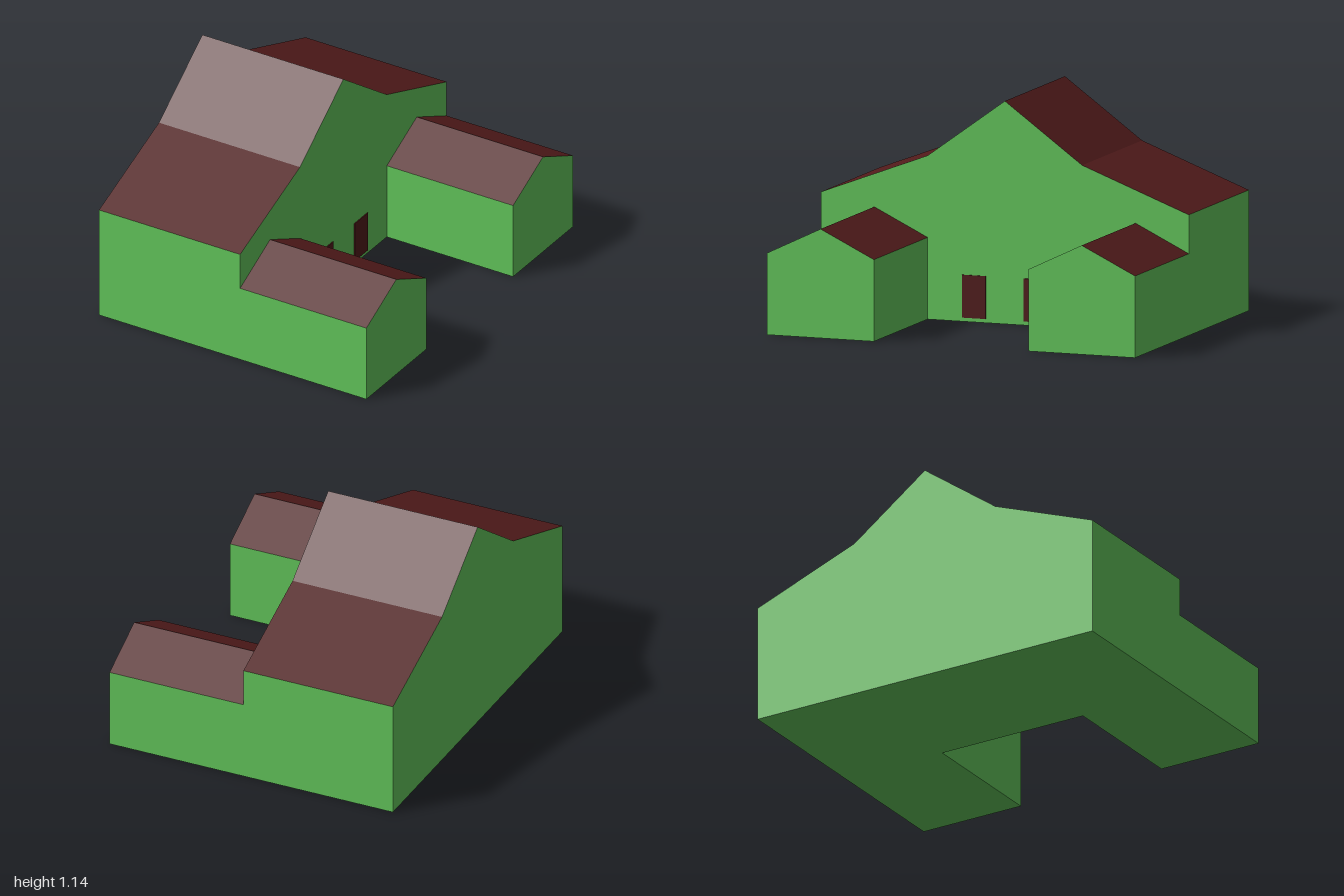
import * as THREE from 'three';

const green = new THREE.MeshStandardMaterial({ color: 0x64c85c, flatShading: true });
const maroon = new THREE.MeshStandardMaterial({ color: 0x521b1b, flatShading: true });

function meshFrom(name, positions, material) {
  const geometry = new THREE.BufferGeometry();
  geometry.setAttribute('position', new THREE.Float32BufferAttribute(positions, 3));
  geometry.computeVertexNormals();
  const mesh = new THREE.Mesh(geometry, material);
  mesh.name = name;
  return mesh;
}

// Flat panels spanning x0..x1 along a [z, y] path that runs front to back over the top
function panels(path, x0, x1) {
  const out = [];
  for (let i = 0; i < path.length - 1; i++) {
    const [pz, py] = path[i], [qz, qy] = path[i + 1];
    out.push(x0, py, pz, x1, py, pz, x1, qy, qz, x0, py, pz, x1, qy, qz, x0, qy, qz);
  }
  return out;
}

// Gable wall at x, fanned from the middle of its base; side +1 faces +x, -1 faces -x
function gable(path, x, side) {
  const out = [];
  const mid = (path[0][0] + path[path.length - 1][0]) / 2;
  for (let i = 0; i < path.length - 1; i++) {
    const [a, b] = side > 0 ? [path[i + 1], path[i]] : [path[i], path[i + 1]];
    out.push(x, 0, mid, x, a[1], a[0], x, b[1], b[0]);
  }
  return out;
}

// A house block: green shell with maroon panels along the roof line
function block(name, roofLine, x0, x1, sides) {
  const front = [roofLine[0][0], 0];
  const back = [roofLine[roofLine.length - 1][0], 0];
  const outline = [front, ...roofLine, back];
  const walls = [
    ...panels([front, roofLine[0]], x0, x1),
    ...panels([roofLine[roofLine.length - 1], back, front], x0, x1),
  ];
  for (const side of sides) walls.push(...gable(outline, side > 0 ? x1 : x0, side));
  const group = new THREE.Group();
  group.name = name;
  group.add(meshFrom('walls', walls, green), meshFrom('roof', panels(roofLine, x0, x1), maroon));
  return group;
}

export function createModel() {
  const model = new THREE.Group();
  model.name = 'barn';
  const END = 0.795, INNER = 0.044;

  // Main hall with a two-pitch roof, outlined front to back
  const hallRoof = [[1, 0.62], [0.42, 0.84], [0, 1.145], [-0.42, 0.84], [-1, 0.62]];
  model.add(block('mainHall', hallRoof, -END, INNER, [1, -1]));

  for (const s of [1, -1]) {
    const label = s > 0 ? 'front' : 'back';

    // Low wing with a simple gable roof
    const c = s * 0.71;
    const wingRoof = [[c + 0.29, 0.42], [c, 0.56], [c - 0.29, 0.42]];
    model.add(block(label + 'Wing', wingRoof, INNER, END, [1]));

    // Courtyard door
    const door = new THREE.Mesh(new THREE.BoxGeometry(0.01, 0.22, 0.13), maroon);
    door.name = label + 'Door';
    door.position.set(INNER, 0.13, s * 0.167);
    model.add(door);
  }
  return model;
}
